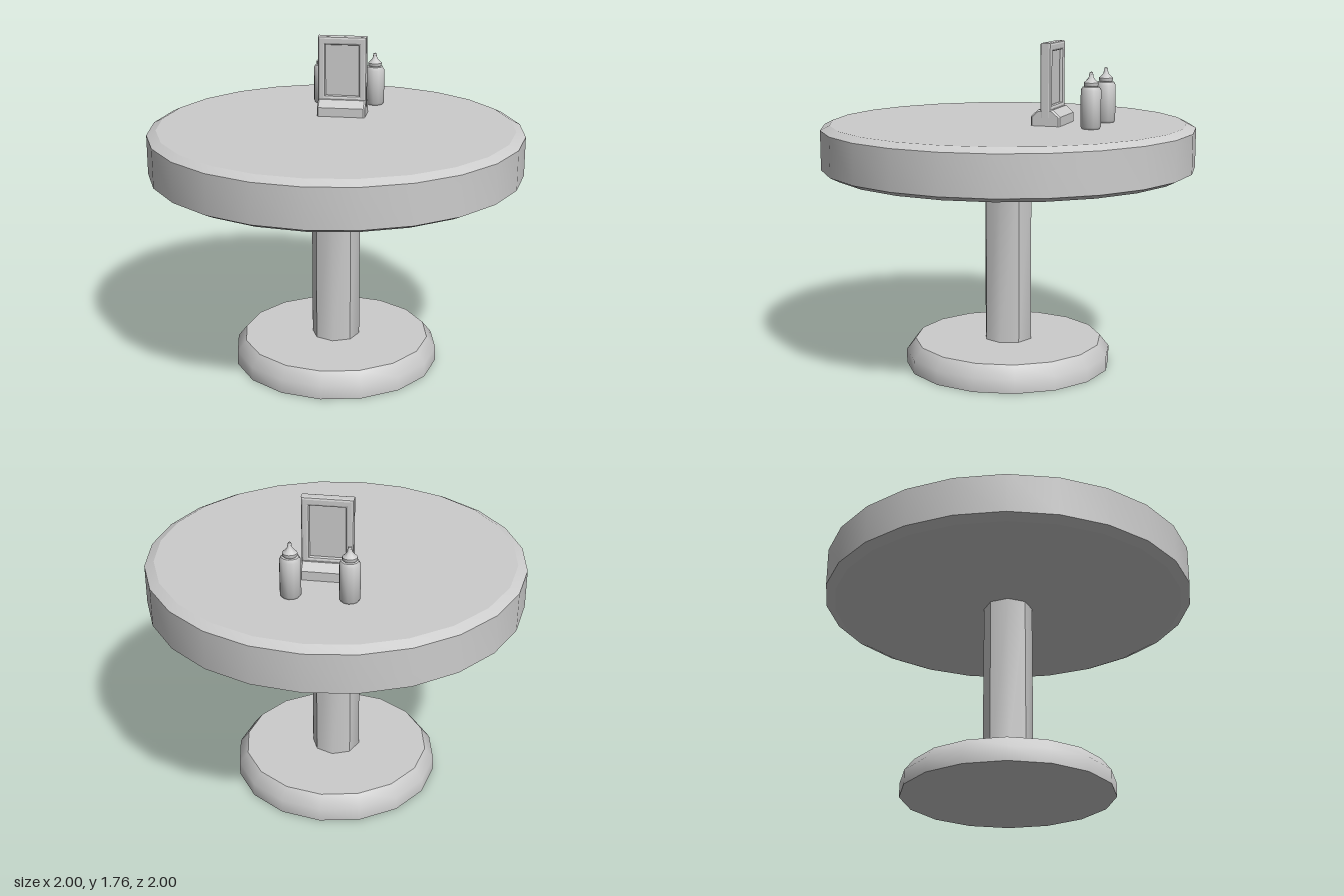
import * as THREE from 'three';
import { toCreasedNormals, mergeGeometries } from 'three/addons/utils/BufferGeometryUtils.js';

const plainGrey = new THREE.MeshStandardMaterial({ color: 0xcccccc });
plainGrey.name = 'plainGrey';

const TOP = 1.335; // height of the table surface
const points = (list) => list.map(([x, y]) => new THREE.Vector2(x, y));

function part(name, geometry) {
  const mesh = new THREE.Mesh(geometry, plainGrey);
  mesh.name = name;
  return mesh;
}

// Turned part with sharp edges above the crease angle
function turned(name, profile, sides, crease) {
  return part(name, toCreasedNormals(new THREE.LatheGeometry(points(profile), sides), crease));
}

// Octagonal column: four smooth pairs of faces that meet at sharp diagonal edges
function column(radius, bottom, top) {
  const sides = [];
  for (let i = 0; i < 4; i++) {
    const start = (i - 0.5) * Math.PI / 2;
    const side = new THREE.CylinderGeometry(radius, radius, top - bottom, 2, 1, true, start, Math.PI / 2);
    side.computeVertexNormals();
    sides.push(side);
  }
  return part('column', mergeGeometries(sides).translate(0, (bottom + top) / 2, 0));
}

// Upright frame with a recessed panel on both sides, standing in a sloped foot
function cardHolder() {
  const group = new THREE.Group();
  group.name = 'cardHolder';

  const outline = new THREE.Shape(points([[-0.121, 1.39], [0.121, 1.39], [0.121, 1.753], [-0.121, 1.753]]));
  outline.holes.push(new THREE.Path(points([[-0.104, 1.428], [-0.104, 1.731], [0.104, 1.731], [0.104, 1.428]])));
  const frame = new THREE.ExtrudeGeometry(outline, {
    depth: 0.034, bevelSize: 0.012, bevelThickness: 0.012, bevelSegments: 2,
  });
  group.add(part('frame', frame.translate(0, 0, -0.017)));

  const panel = new THREE.BoxGeometry(0.21, 0.32, 0.02);
  group.add(part('panel', panel.translate(0, 1.58, 0)));

  const section = new THREE.Shape(points([
    [-0.072, TOP], [0.072, TOP], [0.072, 1.38], [0.036, 1.412], [-0.036, 1.412], [-0.072, 1.38],
  ]));
  const foot = new THREE.ExtrudeGeometry(section, {
    depth: 0.248, bevelSize: 0.008, bevelThickness: 0.008, bevelSegments: 1,
  });
  // The bevel skirt below the table surface is flattened onto it
  const pos = foot.attributes.position;
  for (let i = 0; i < pos.count; i++) pos.setY(i, Math.max(pos.getY(i), TOP));
  foot.computeVertexNormals();
  group.add(part('foot', foot.translate(0, 0, -0.124).rotateY(Math.PI / 2)));

  group.position.z = -0.248;
  return group;
}

// Squeeze bottle with a shouldered body and pointed nozzle
function bottle(name, x) {
  const mesh = turned(name, [
    [0, 0], [0.046, 0], [0.054, 0.012], [0.054, 0.198], [0.044, 0.215], [0.033, 0.217],
    [0.038, 0.222], [0.038, 0.236], [0.03, 0.243], [0.014, 0.26], [0.008, 0.289], [0, 0.292],
  ], 12, 0.8);
  mesh.position.set(x, TOP, -0.498);
  return mesh;
}

export function createModel() {
  const model = new THREE.Group();
  model.name = 'roundTable';

  model.add(turned('tabletop', [
    [0, 1.075], [0.95, 1.075], [1, 1.1], [1, 1.31], [0.95, TOP], [0, TOP],
  ], 24, 0.45));
  model.add(column(0.132, 0.13, 1.08));
  model.add(turned('base', [
    [0, 0], [0.56, 0], [0.56, 0.075], [0.51, 0.138], [0, 0.138],
  ], 16, 0.8));

  model.add(cardHolder());
  model.add(bottle('leftBottle', 0.147), bottle('rightBottle', -0.147));
  return model;
}
